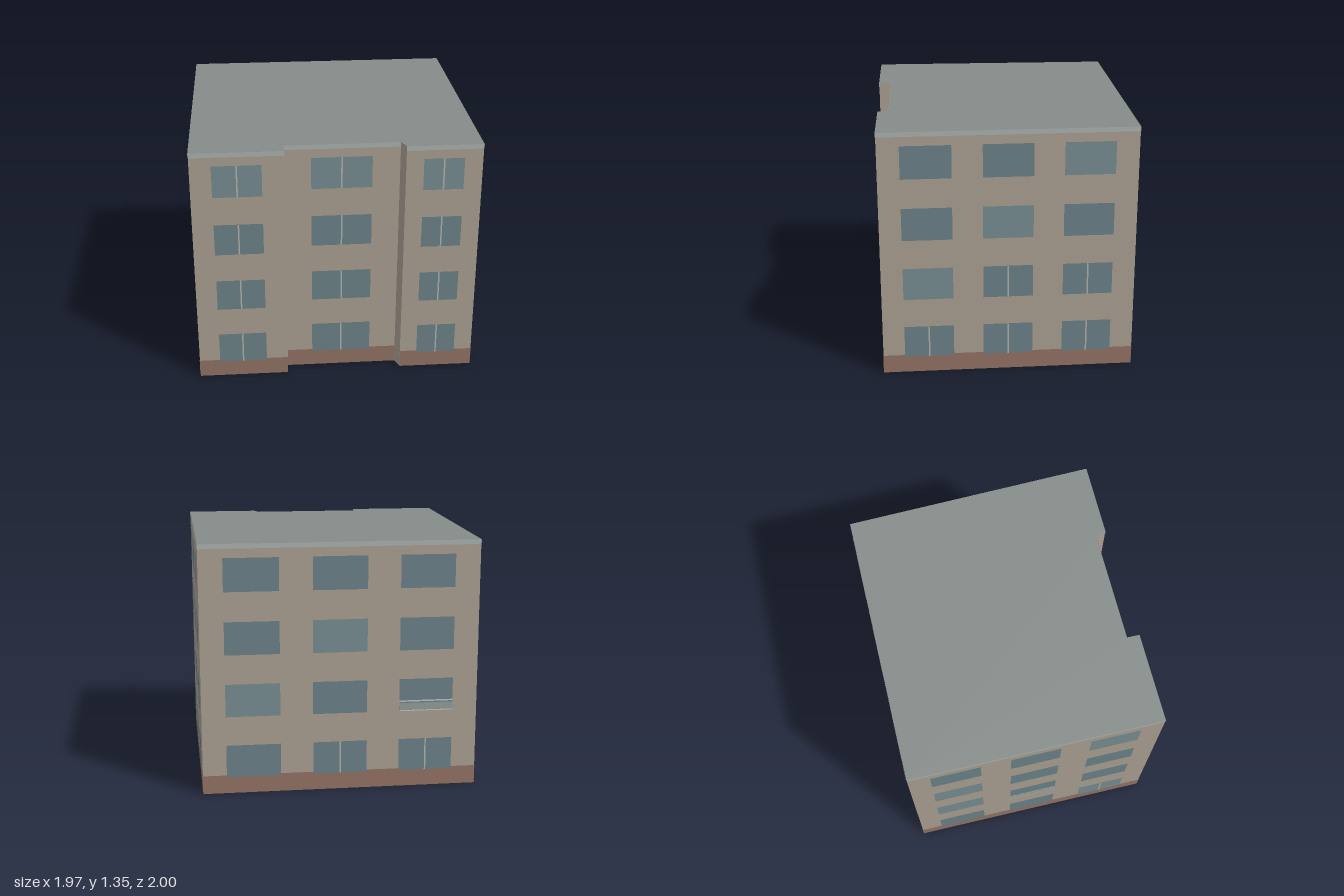
import * as THREE from 'three';

const HEIGHT = 1.345, PLINTH = 0.1, FASCIA = 1.32;

// Footprint corners (x, z), walked left to right as seen from outside
const corners = [
  [-0.985, 0.202], [0.117, 0.998], [0.398, 0.602], [0.343, 0.562],
  [0.692, 0.07], [0.752, 0.085], [0.984, -0.24], [-0.127, -1.0],
];

// Window columns as fractions of the wall length, and sill heights per storey
const three = [[0.086, 0.282], [0.4, 0.596], [0.714, 0.91]];
const single = [[0.23, 0.76]];
const sills = [0.09, 0.425, 0.76, 1.095];
const windowHeight = 0.177;

// Per wall: columns, and the 'storey,column' of split windows, pale windows and balconies.
// The two narrow returns are plain, without plinth or fascia.
const walls = [
  { name: 'frontWall', columns: three, split: ['0,2'], pale: ['0,2', '1,0', '2,0', '3,2'], balcony: '1,1' },
  { name: 'frontWingWall', columns: single, split: 'all', pale: ['3,0'] },
  { name: 'frontReturn', columns: [], plain: true },
  { name: 'recessedWall', columns: single, split: 'all', pale: ['3,0'] },
  { name: 'backReturn', columns: [], plain: true },
  { name: 'backWingWall', columns: single, split: 'all', pale: ['3,0'] },
  { name: 'backWall', columns: three, split: ['0,0', '0,1', '0,2', '1,1', '1,2'], pale: ['1,0', '2,1', '3,2'] },
  { name: 'leftWall', columns: three, split: ['0,1', '0,2'], pale: ['1,0', '2,1'], balcony: '1,2' },
];

const paint = (color) => new THREE.MeshStandardMaterial({ color, side: THREE.DoubleSide });
const mats = {
  wall: paint(0xaa9f92), plinth: paint(0x927264), fascia: paint(0xabb3b0), roof: paint(0x848b88),
  glass: paint(0x6b8288), paleGlass: paint(0x778d91), mullion: paint(0xb4b4ad),
  railing: paint(0x949e9a), rail: paint(0xc4c6c0),
};

// Flat rectangle on a wall, from (u0, y0) to (u1, y1), at offset z from the wall
function panel(parent, name, u0, u1, y0, y1, z, material) {
  const mesh = new THREE.Mesh(new THREE.PlaneGeometry(u1 - u0, y1 - y0), material);
  mesh.position.set((u0 + u1) / 2, (y0 + y1) / 2, z);
  mesh.name = name;
  parent.add(mesh);
}

function addWindow(wall, spec, key, u0, u1, y0) {
  const y1 = y0 + windowHeight, mid = (u0 + u1) / 2;
  const glass = spec.pale?.includes(key) ? mats.paleGlass : mats.glass;
  panel(wall, 'windowGlass', u0, u1, y0, y1, 0.003, glass);
  if (spec.split === 'all' || spec.split.includes(key)) {
    panel(wall, 'mullion', mid - 0.004, mid + 0.004, y0, y1, 0.0045, mats.mullion);
  }
  // Thin balcony railing with a pale handrail and foot rail
  if (spec.balcony === key) {
    panel(wall, 'balconyPanel', u0, u1, y0 + 0.006, y0 + 0.045, 0.006, mats.railing);
    panel(wall, 'handrail', u0, u1, y0 + 0.052, y0 + 0.06, 0.0075, mats.rail);
    panel(wall, 'footRail', u0, u1, y0, y0 + 0.006, 0.0075, mats.rail);
  }
}

function buildWall(spec, [px, pz], [qx, qz]) {
  // Local x runs along the wall, local z points outward
  const wall = new THREE.Group();
  wall.name = spec.name;
  wall.position.set(px, 0, pz);
  wall.rotation.y = -Math.atan2(qz - pz, qx - px);
  const length = Math.hypot(qx - px, qz - pz);

  panel(wall, 'facade', 0, length, 0, HEIGHT, 0, mats.wall);
  if (!spec.plain) {
    panel(wall, 'plinth', 0, length, 0, PLINTH, 0.0015, mats.plinth);
    panel(wall, 'fascia', 0, length, FASCIA, HEIGHT, 0.0015, mats.fascia);
  }

  sills.forEach((sill, storey) => spec.columns.forEach(([a, b], column) =>
    addWindow(wall, spec, `${storey},${column}`, a * length, b * length, sill)));
  return wall;
}

export function createModel() {
  const building = new THREE.Group();
  building.name = 'apartmentBuilding';
  walls.forEach((spec, i) =>
    building.add(buildWall(spec, corners[i], corners[(i + 1) % corners.length])));

  // Flat roof over the footprint; the underside of the building stays open
  const outline = new THREE.Shape(corners.map(([x, z]) => new THREE.Vector2(x, -z)));
  const roof = new THREE.Mesh(new THREE.ShapeGeometry(outline).rotateX(-Math.PI / 2), mats.roof);
  roof.position.y = HEIGHT;
  roof.name = 'roof';
  building.add(roof);
  return building;
}
